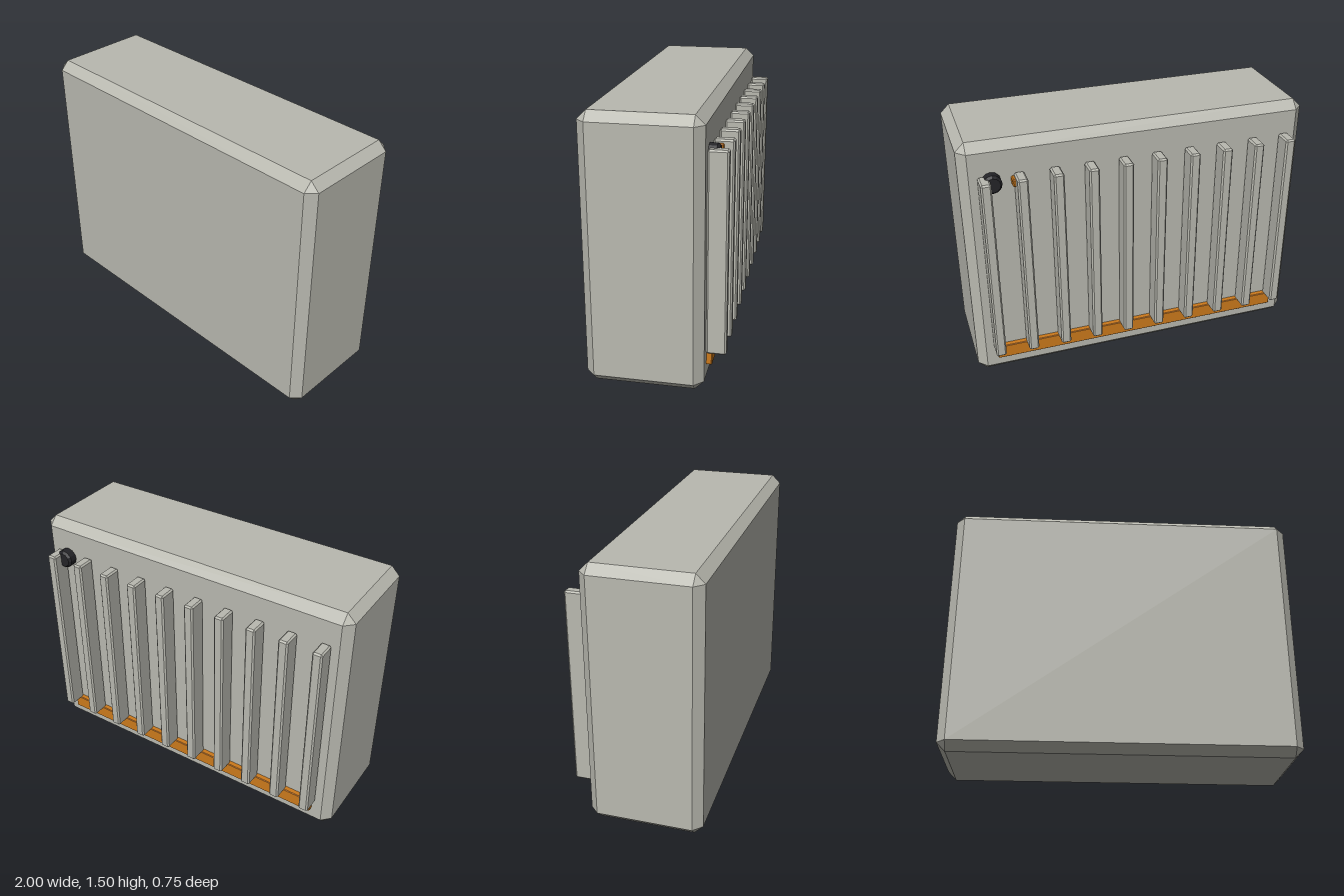
import * as THREE from 'three';
import { ConvexGeometry } from 'three/addons/geometries/ConvexGeometry.js';

// Box with flat chamfers along every edge and triangular corners
function chamferBox(w, h, d, c) {
  const pts = [];
  for (const x of [-1, 1]) for (const y of [-1, 1]) for (const z of [-1, 1]) {
    for (let axis = 0; axis < 3; axis++) {
      const p = [w, h, d].map((s, i) => s / 2 - (i === axis ? 0 : c));
      pts.push(new THREE.Vector3(x * p[0], y * p[1], z * p[2]));
    }
  }
  return new ConvexGeometry(pts);
}

function material(name, color) {
  const m = new THREE.MeshStandardMaterial({ color });
  m.name = name;
  return m;
}

export function createModel() {
  const model = new THREE.Group();
  model.name = 'finnedCase';
  const grey = material('warm grey', 0xb9b9b0);
  const orange = material('orange', 0xcc7a1c);
  const black = material('black', 0x242428);
  black.flatShading = true;

  const add = (name, geometry, mat, x, y, z) => {
    const mesh = new THREE.Mesh(geometry, mat);
    mesh.name = name;
    mesh.position.set(x, y, z);
    model.add(mesh);
    return mesh;
  };

  const back = -0.267;

  // Main case
  add('body', chamferBox(2, 1.5, 0.642, 0.05), grey, 0, 0.75, 0.054);

  // Row of cooling fins on the back
  const finGeometry = chamferBox(0.058, 1.125, 0.109, 0.009);
  for (let i = 0; i < 10; i++) {
    add('fin' + (i + 1), finGeometry, grey, -0.877 + i * 0.1947, 0.753, back - 0.0545);
  }

  // Accent strip under the fins
  add('accentStrip', chamferBox(1.77, 0.085, 0.04, 0.004), orange, 0, 0.158, back - 0.011);

  // Round connector with a chamfered rim
  const profile = [[0, 0], [0.054, 0], [0.054, 0.042], [0.042, 0.056], [0, 0.056]]
    .map(([r, y]) => new THREE.Vector2(r, y));
  const knob = add('connector', new THREE.LatheGeometry(profile, 12), black, 0.832, 1.28, back);
  knob.rotation.x = -Math.PI / 2;

  // Small indicator peg beside the connector
  add('indicator', chamferBox(0.045, 0.045, 0.056, 0.006), orange, 0.703, 1.275, back - 0.027);

  return model;
}
